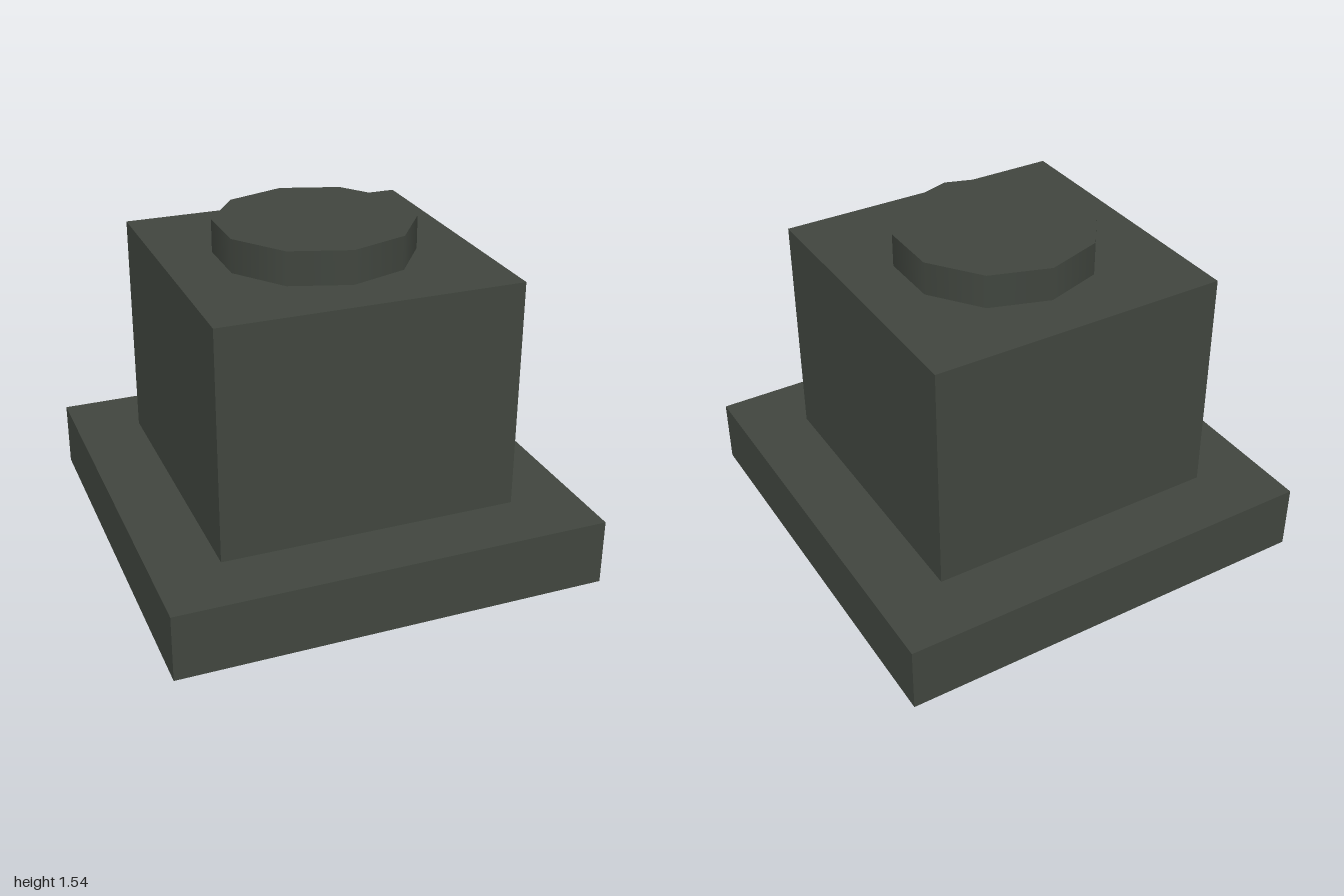
import * as THREE from 'three';

export function createModel() {
  const model = new THREE.Group();
  model.name = 'pedestal';

  const darkStone = new THREE.MeshStandardMaterial({ color: 0x40453e });
  darkStone.name = 'darkStone';

  // Adds a part whose underside rests at the given height
  function addPart(name, geometry, bottom, height) {
    const mesh = new THREE.Mesh(geometry, darkStone);
    mesh.name = name;
    mesh.position.y = bottom + height / 2;
    model.add(mesh);
  }

  // Wide square plinth
  addPart('basePlate', new THREE.BoxGeometry(2, 0.31, 2), 0, 0.31);

  // Square block
  addPart('block', new THREE.BoxGeometry(1.384, 1.075, 1.384), 0.31, 1.075);

  // Ten-sided cap with smooth-shaded walls, corners towards front and back
  addPart('cap', new THREE.CylinderGeometry(0.46, 0.46, 0.155, 10), 1.385, 0.155);

  return model;
}
